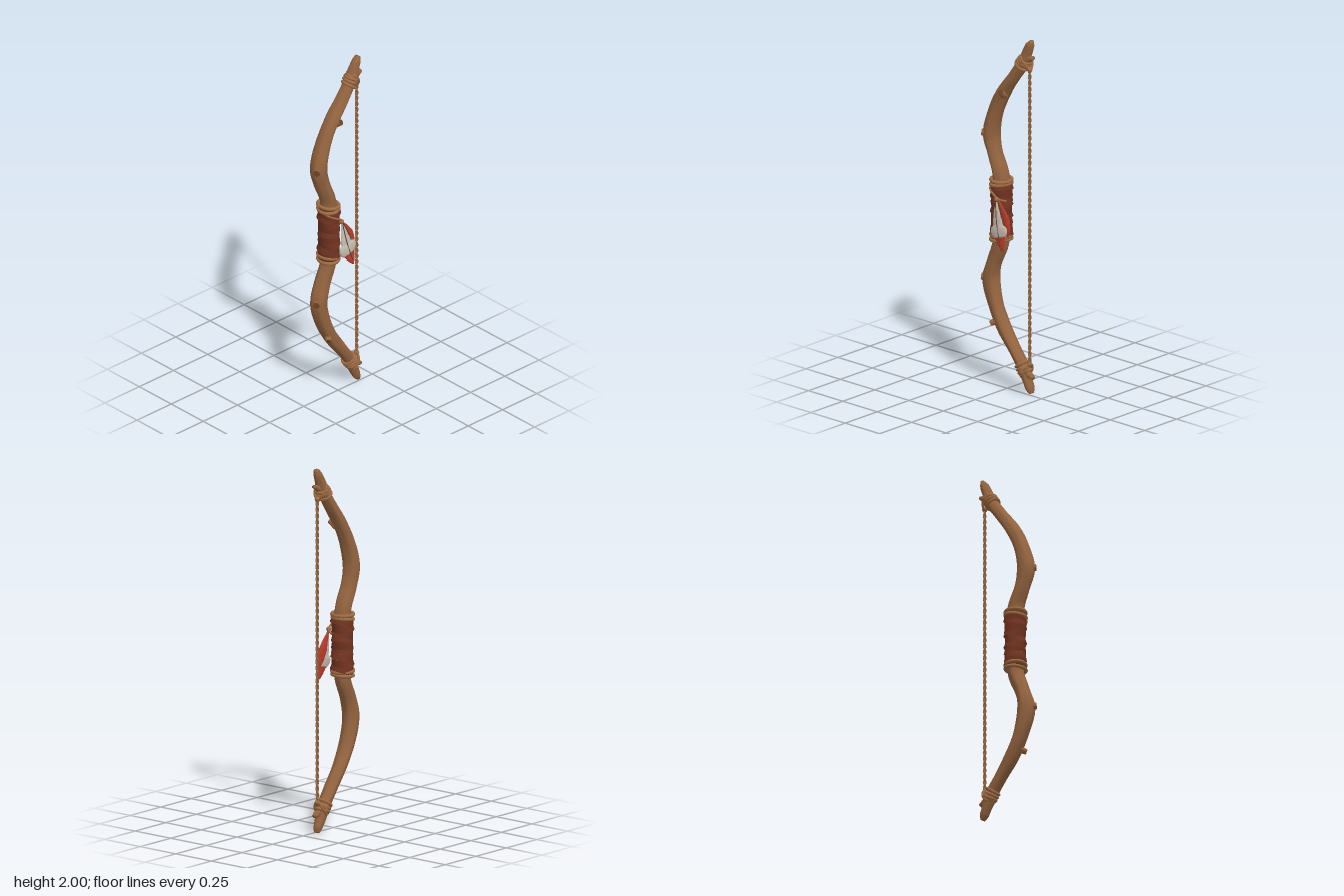
import * as THREE from 'three';

const Z = -0.015; // depth of the bow's centre plane
const V = (x, y, z = Z) => new THREE.Vector3(x, y, z);

const mat = (name, color, side = THREE.FrontSide) => {
  const m = new THREE.MeshStandardMaterial({ color, side });
  m.name = name;
  return m;
};

// Sweeps an elliptical section along points [x, y, z, radius across, radius in depth]
function loft(pts, { segs = 24, sides = 8, t0 = 0, t1 = 1, bump = () => 1 } = {}) {
  const path = new THREE.CatmullRomCurve3(pts.map(p => V(p[0], p[1], p[2])));
  const size = new THREE.CatmullRomCurve3(pts.map(p => V(p[3], p[4], 0)));
  const pos = [], idx = [], depth = V(0, 0, 1);
  for (let i = -1; i <= segs + 1; i++) {
    const t = t0 + (t1 - t0) * Math.min(Math.max(i / segs, 0), 1);
    const closed = i < 0 || i > segs ? 0 : 1; // end rings collapse into caps
    const c = path.getPoint(t), r = size.getPoint(t);
    const across = path.getTangent(t).setZ(0).normalize().cross(depth);
    for (let j = 0; j < sides; j++) {
      const a = j / sides * Math.PI * 2, k = closed * bump(t, a);
      const p = c.clone().addScaledVector(across, Math.cos(a) * r.x * k);
      pos.push(p.x, p.y, p.z + Math.sin(a) * r.y * k);
    }
  }
  for (let i = 0; i < segs + 2; i++) for (let j = 0; j < sides; j++) {
    const a = i * sides + j, b = i * sides + (j + 1) % sides;
    idx.push(a, a + sides, b, b, a + sides, b + sides);
  }
  const g = new THREE.BufferGeometry();
  g.setAttribute('position', new THREE.Float32BufferAttribute(pos, 3));
  g.setIndex(idx);
  g.computeVertexNormals();
  return g;
}

export function createModel() {
  const model = new THREE.Group();
  const wood = mat('wood', 0x94643f);
  const darkWood = mat('dark wood', 0x6b4327);
  const rope = mat('rope', 0x9c6a42);
  const leather = mat('leather', 0x6f3220, THREE.DoubleSide);
  const red = mat('red feather', 0xbb3c2c);
  const pale = mat('pale feather', 0xc6bcb0);
  const quillColor = mat('quill', 0x5a4636);

  const add = (name, geo, material, parent = model) => {
    const m = new THREE.Mesh(geo, material);
    m.name = name;
    parent.add(m);
    return m;
  };
  const group = name => {
    const g = new THREE.Group();
    g.name = name;
    model.add(g);
    return g;
  };
  const ring = (name, at, dir, r, tube, material, parent, stretch = 1) => {
    const m = add(name, new THREE.TorusGeometry(r, tube, 8, 28), material, parent);
    m.position.copy(at);
    m.scale.y = stretch;
    m.quaternion.setFromUnitVectors(V(0, 0, 1), dir.normalize());
  };

  // Curved wooden stave, from the grip to the tip, mirrored below
  const half = [
    [-0.055, 1.0, Z, 0.044, 0.047], [-0.055, 1.12, Z, 0.044, 0.047],
    [-0.062, 1.2, Z, 0.042, 0.046], [-0.105, 1.31, Z, 0.039, 0.045],
    [-0.127, 1.41, Z, 0.045, 0.047], [-0.093, 1.55, Z, 0.039, 0.043],
    [-0.032, 1.67, Z, 0.037, 0.041], [0.04, 1.77, Z, 0.032, 0.038],
    [0.105, 1.865, Z - 0.003, 0.032, 0.034], [0.13, 1.925, Z - 0.003, 0.027, 0.028],
    [0.15, 1.97, Z - 0.003, 0.023, 0.024], [0.161, 1.995, Z - 0.003, 0.011, 0.016],
  ];
  const lower = half.slice(1).reverse().map(([x, y, ...rest]) => [x, 2 - y, ...rest]);
  const grain = (t, a) => 1 + 0.045 * Math.sin(5 * a + 9 * t) + 0.03 * Math.sin(9 * a - 23 * t)
    + 0.025 * Math.sin(70 * t + 2 * a);
  add('stave', loft([...lower, ...half], { segs: 150, sides: 24, bump: grain }), wood);

  // Broken twig stubs with dark ends
  const stubs = group('branchStubs');
  const stub = (at, dir, r, len) => {
    const g = new THREE.CylinderGeometry(r * 0.65, r, len, 9).toNonIndexed();
    g.computeVertexNormals();
    const m = add('stub', g, [wood, darkWood, wood], stubs);
    m.position.copy(at);
    m.quaternion.setFromUnitVectors(V(0, 1, 0), dir.normalize());
  };
  stub(V(-0.15, 1.41, 0), V(-0.8, 0.1, 0.6), 0.028, 0.055);
  stub(V(-0.152, 0.595, 0), V(-0.8, 0.1, 0.6), 0.028, 0.055);
  stub(V(-0.018, 1.665, 0.017), V(0.2, 0.5, 0.9), 0.024, 0.05);
  stub(V(-0.082, 0.36, 0.012), V(-0.55, -0.3, 0.6), 0.022, 0.05);

  // Nock spurs, rope lashings and string knots at both tips
  const lashings = group('tipLashings');
  for (const s of [1, -1]) {
    const y = h => 1 + s * h;
    add('nockSpur', loft([
      [0.12, y(0.875), Z, 0.022, 0.024], [0.15, y(0.893), Z, 0.018, 0.02], [0.177, y(0.905), Z, 0.01, 0.014],
    ], { segs: 6 }), wood, lashings);
    [[0.091, 0.845, 0.7, 0.9], [0.103, 0.863, 0.55, 0.9], [0.115, 0.88, 0.4, 0.9],
      [0.113, 0.873, 0.95, 0.6]].forEach(([x, h, dx, dy]) =>
      ring('lashing', V(x, y(h), Z - 0.003), V(dx, s * dy, 0), 0.035, 0.009, rope, lashings));
    add('stringLoop', new THREE.TubeGeometry(new THREE.CatmullRomCurve3([
      V(0.148, y(0.825)), V(0.142, y(0.86), 0.01), V(0.115, y(0.9), 0.016),
      V(0.1, y(0.905), Z), V(0.115, y(0.9), -0.05), V(0.142, y(0.86), -0.045),
    ], true), 40, 0.007, 6, true), rope, lashings);
    const knot = add('stringKnot', new THREE.SphereGeometry(0.015, 10, 8), rope, lashings);
    knot.position.copy(V(0.149, y(0.832)));
  }

  // Bowstring of two twisted strands
  const string = group('bowstring');
  for (const phase of [0, Math.PI]) {
    const pts = Array.from({ length: 241 }, (_, i) => {
      const a = i * Math.PI / 5 + phase;
      return V(0.15 + 0.0045 * Math.cos(a), 0.165 + 1.67 * i / 240, Z + 0.0045 * Math.sin(a));
    });
    add('strand', new THREE.TubeGeometry(new THREE.CatmullRomCurve3(pts), 480, 0.0055, 6), rope, string);
  }

  // Leather grip: a core under overlapping, tilted bands
  const grip = group('grip');
  add('gripCore', loft([
    [-0.055, 0.84, Z, 0.054, 0.06], [-0.055, 1, Z, 0.048, 0.055], [-0.055, 1.16, Z, 0.054, 0.06],
  ], { sides: 24 }), leather, grip);
  for (let i = 0; i < 9; i++) {
    const h = -0.128 + i * 0.032, r = 0.05 + 0.2 * h * h;
    const band = add('gripBand', new THREE.CylinderGeometry(r, r + 0.006, 0.046, 24, 1, true), leather, grip);
    band.position.copy(V(-0.055, 1 + h));
    band.scale.z = 1.13;
    band.rotation.set(i % 2 ? 0.1 : -0.12, 0, [0.2, -0.14, 0.26][i % 3]);
  }
  for (const [y, tilt] of [[1.165, 0.05], [1.143, -0.1], [0.855, 0.1], [0.832, -0.05]])
    ring('gripRope', V(-0.057, y), V(tilt, 1, 0), 0.052, 0.01, rope, grip, 1.14);

  // Cord holding the feathers
  const charm = group('featherCharm');
  add('cord', new THREE.TubeGeometry(new THREE.CatmullRomCurve3([
    V(-0.112, 1.135, Z), V(-0.09, 1.12, 0.037), V(-0.05, 1.1, 0.056), V(-0.015, 1.075, 0.048), V(0.002, 1.06, 0.01),
  ]), 24, 0.006, 6), rope, charm);
  const knot = add('cordKnot', new THREE.SphereGeometry(0.014, 10, 8), rope, charm);
  knot.position.set(-0.026, 1.076, 0.056);

  // Feathers with notched edges, a coloured tip and a thin quill
  const notch = t => 1 + 0.1 * (1 - ((t * 7) % 1));
  const feather = (name, pts, parts) => {
    for (const [t0, t1, material] of parts)
      add(name, loft(pts, { segs: 28, sides: 10, t0, t1, bump: notch }), material, charm);
    const line = pts.slice(0, -1).map(p => V(p[0], p[1], p[2] + p[4] + 0.001));
    add('quill', new THREE.TubeGeometry(new THREE.CatmullRomCurve3(line), 16, 0.003, 5), quillColor, charm);
  };
  feather('redFeather', [
    [-0.018, 1.07, 0.05, 0.004, 0.004], [0.008, 1.02, 0.05, 0.02, 0.006], [0.03, 0.97, 0.05, 0.031, 0.008],
    [0.044, 0.925, 0.052, 0.027, 0.008], [0.055, 0.88, 0.053, 0.004, 0.003],
  ], [[0, 1, red]]);
  feather('paleFeather', [
    [-0.026, 1.07, 0.058, 0.004, 0.004], [-0.016, 1.0, 0.064, 0.022, 0.006], [-0.004, 0.94, 0.068, 0.034, 0.008],
    [0.016, 0.87, 0.073, 0.034, 0.008], [0.028, 0.83, 0.076, 0.022, 0.007], [0.039, 0.8, 0.078, 0.004, 0.003],
  ], [[0, 0.58, pale], [0.58, 1, red]]);

  return model;
}
